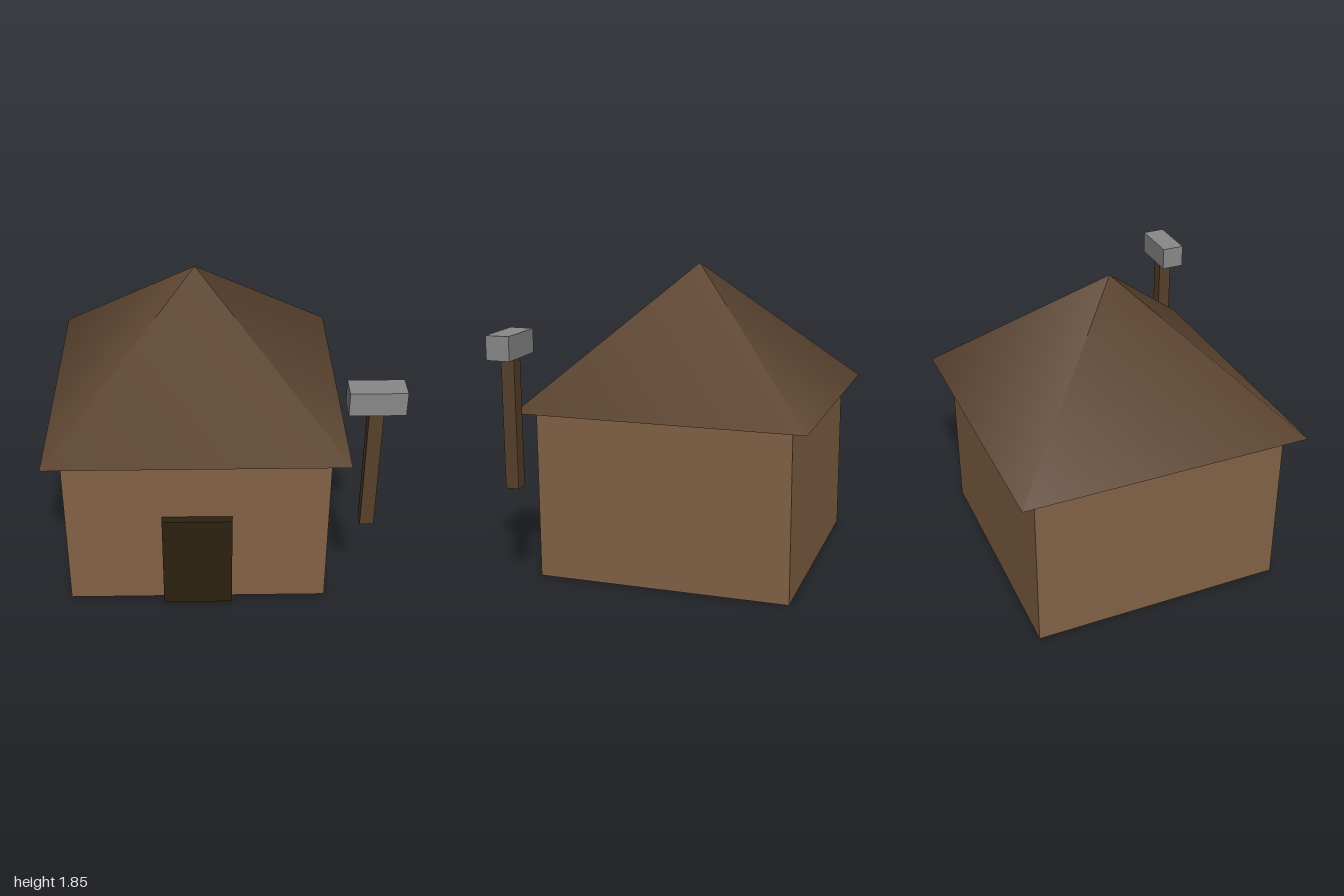
import * as THREE from 'three';

const material = (name, color) => {
  const m = new THREE.MeshStandardMaterial({ color });
  m.name = name;
  return m;
};

export function createModel() {
  const group = new THREE.Group();
  group.name = 'hutWithHammer';

  const wallBrown = material('wall brown', 0x826245);
  const roofBrown = material('roof brown', 0x5c4430);
  const doorBrown = material('door dark brown', 0x2d2110);
  const handleBrown = material('handle brown', 0x57402a);
  const headGrey = material('head grey', 0x888888);

  const add = (name, geometry, mat, x, y, z) => {
    const mesh = new THREE.Mesh(geometry, mat);
    mesh.name = name;
    mesh.position.set(x, y, z);
    group.add(mesh);
  };
  // Box placed by the centre of its underside
  const box = (name, mat, [w, h, d], [x, y, z]) =>
    add(name, new THREE.BoxGeometry(w, h, d), mat, x, y + h / 2, z);

  // Hut
  box('walls', wallBrown, [1.54, 1.03, 1.54], [-0.13, 0, -0.01]);
  box('door', doorBrown, [0.41, 0.62, 0.05], [-0.13, 0, 0.79]);

  // Four-sided roof with its edges parallel to the walls
  const roof = new THREE.ConeGeometry(0.87 * Math.SQRT2, 0.82, 4);
  roof.rotateY(Math.PI / 4);
  add('roof', roof, roofBrown, -0.13, 1.03 + 0.41, -0.01);

  // Floating hammer
  box('hammerHandle', handleBrown, [0.08, 0.77, 0.08], [0.845, 0.62, 0.81]);
  box('hammerHead', headGrey, [0.31, 0.14, 0.14], [0.845, 1.39, 0.81]);

  return group;
}
